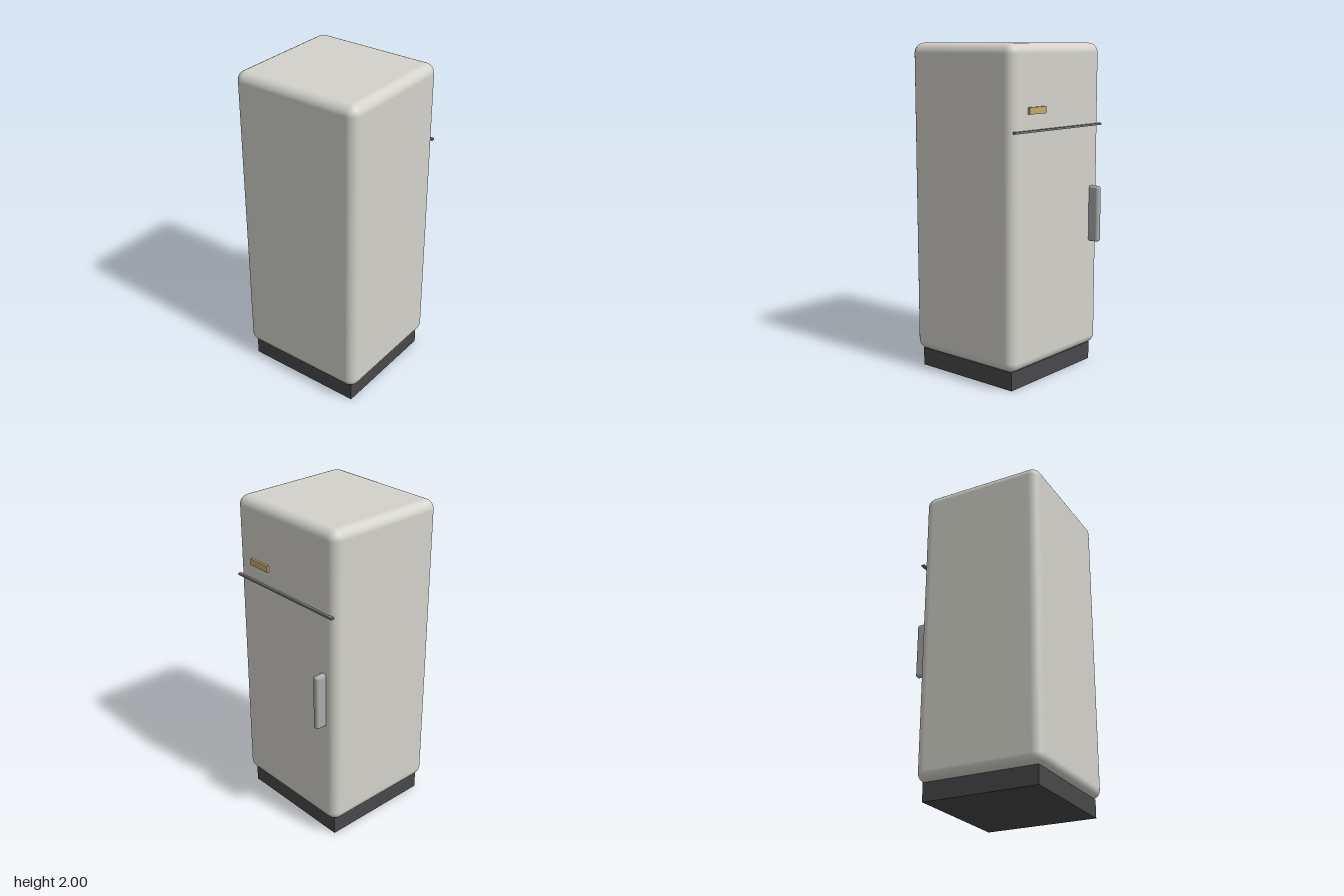
import * as THREE from 'three';
import { RoundedBoxGeometry } from 'three/addons/geometries/RoundedBoxGeometry.js';

// Box spanning [min, max]; a radius gives it rounded edges.
function block(name, color, min, max, radius = 0, segments = 4) {
  const size = max.map((v, i) => v - min[i]);
  const geometry = radius
    ? new RoundedBoxGeometry(...size, segments, radius)
    : new THREE.BoxGeometry(...size);
  const mesh = new THREE.Mesh(geometry, new THREE.MeshStandardMaterial({ color }));
  mesh.name = name;
  mesh.position.set(...max.map((v, i) => (v + min[i]) / 2));
  return mesh;
}

export function createModel() {
  const fridge = new THREE.Group();
  fridge.name = 'refrigerator';
  fridge.add(
    // Rounded cabinet on a recessed dark plinth
    block('cabinet', 0xd3d2cb, [-0.43, 0.11, -0.42], [0.363, 2, 0.42], 0.06, 4),
    block('plinth', 0x48484a, [-0.395, 0, -0.383], [0.325, 0.112, 0.383]),
    // Door details on the +x face
    block('doorSeam', 0x77777a, [0.358, 1.503, -0.41], [0.378, 1.515, 0.41]),
    block('badge', 0xbfaa6a, [0.355, 1.605, 0.135], [0.377, 1.645, 0.287]),
    block('doorHandle', 0xa9a9ab, [0.35, 0.788, -0.35], [0.43, 1.135, -0.31], 0.015, 3),
  );
  return fridge;
}
